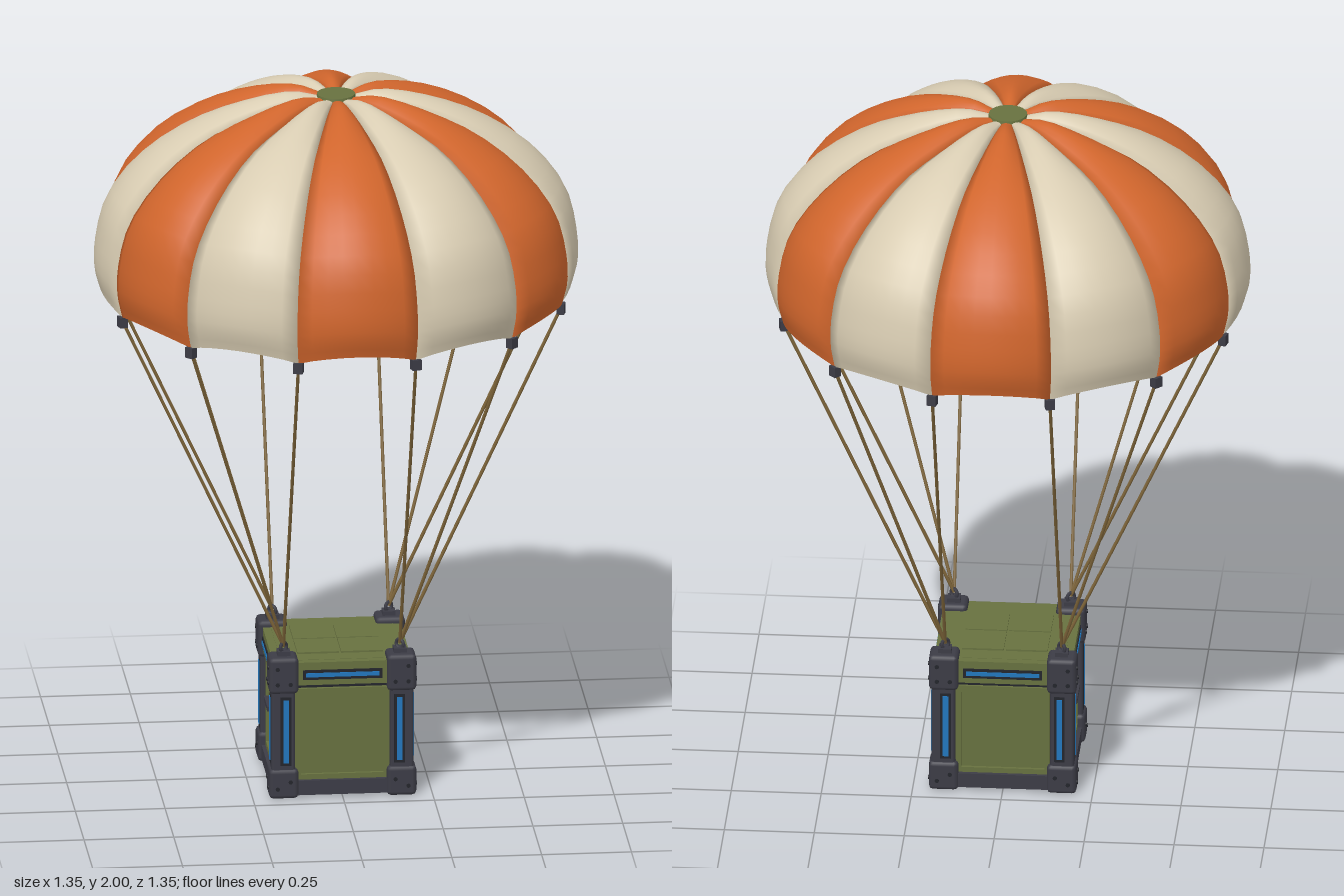
import * as THREE from 'three';
import { RoundedBoxGeometry } from 'three/addons/geometries/RoundedBoxGeometry.js';
import { ParametricGeometry } from 'three/addons/geometries/ParametricGeometry.js';

const material = (name, color, extra = {}) => {
  const m = new THREE.MeshStandardMaterial({ color, ...extra });
  m.name = name;
  return m;
};

export function createModel() {
  const orange = material('orange cloth', 0xd0652c, { side: THREE.DoubleSide });
  const cream = material('cream cloth', 0xd8ccb2, { side: THREE.DoubleSide });
  const olive = material('olive paint', 0x67713f);
  const slate = material('slate metal', 0x3c3c46);
  const dark = material('dark recess', 0x23252b);
  const blue = material('blue strip', 0x2277bd);
  const cord = material('tan cord', 0x7d6439);

  const model = new THREE.Group();
  model.name = 'parachuteCrate';

  const add = (parent, name, geometry, mat, x = 0, y = 0, z = 0) => {
    const mesh = new THREE.Mesh(geometry, mat);
    mesh.name = name;
    mesh.position.set(x, y, z);
    parent.add(mesh);
    return mesh;
  };
  const box = (parent, name, mat, w, h, d, x, y, z) =>
    add(parent, name, new THREE.BoxGeometry(w, h, d), mat, x, y, z);

  // Canopy: puffed gores between a seam profile and a fuller middle profile
  const profile = (points) =>
    new THREE.CatmullRomCurve3(points.map(([r, y]) => new THREE.Vector3(r, y, 0)));
  const seam = profile([[0.632, 1.41], [0.647, 1.48], [0.645, 1.56], [0.612, 1.68],
    [0.52, 1.8], [0.385, 1.9], [0.25, 1.948], [0.12, 1.977], [0.045, 1.983]]);
  const middle = profile([[0.655, 1.438], [0.672, 1.5], [0.669, 1.58], [0.638, 1.7],
    [0.545, 1.82], [0.405, 1.915], [0.25, 1.977], [0.12, 2.0], [0.045, 1.985]]);
  const gores = 12;
  const step = (Math.PI * 2) / gores;
  const canopy = new THREE.Group();
  canopy.name = 'canopy';
  model.add(canopy);
  const gore = new ParametricGeometry((u, v, target) => {
    const puff = Math.pow(Math.max(0, Math.sin(Math.PI * u)), 0.8);
    const p = seam.getPoint(v).lerp(middle.getPoint(v), puff);
    const a = (u - 0.5) * step;
    target.set(p.x * Math.sin(a), p.y, p.x * Math.cos(a));
  }, 8, 20);
  for (let i = 0; i < gores; i++) {
    add(canopy, 'gore', gore, i % 2 ? cream : orange).rotation.y = i * step;
  }
  add(canopy, 'crownCap', new THREE.CylinderGeometry(0.053, 0.055, 0.012, 24), olive, 0, 1.986, 0);

  // Suspension lines: three from the seams to each crate corner
  const lines = new THREE.Group();
  lines.name = 'suspensionLines';
  model.add(lines);
  const up = new THREE.Vector3(0, 1, 0);
  for (let i = 0; i < gores; i++) {
    const a = (i + 0.5) * step;
    const top = new THREE.Vector3(0.632 * Math.sin(a), 1.4, 0.632 * Math.cos(a));
    const end = new THREE.Vector3(0.162 * Math.sign(top.x), 0.435, 0.162 * Math.sign(top.z));
    const dir = top.clone().sub(end);
    const rope = add(lines, 'rope', new THREE.CylinderGeometry(0.005, 0.005, dir.length(), 6), cord);
    rope.position.copy(top).add(end).multiplyScalar(0.5);
    rope.quaternion.setFromUnitVectors(up, dir.normalize());
    box(lines, 'rimClip', slate, 0.026, 0.03, 0.022, top.x, top.y - 0.002, top.z).rotation.y = a;
  }

  // Crate body and quartered lid
  const crate = new THREE.Group();
  crate.name = 'crate';
  model.add(crate);
  box(crate, 'body', olive, 0.35, 0.37, 0.35, 0, 0.2, 0);
  box(crate, 'lid', olive, 0.34, 0.012, 0.34, 0, 0.389, 0);
  for (const x of [-1, 1]) {
    for (const z of [-1, 1]) {
      box(crate, 'lidPanel', olive, 0.116, 0.006, 0.116, x * 0.061, 0.397, z * 0.061);
    }
  }

  // Raised frame around each side panel
  const frameShape = new THREE.Shape();
  frameShape.moveTo(-0.13, 0.05).lineTo(0.13, 0.05).lineTo(0.13, 0.315).lineTo(-0.13, 0.315);
  const opening = new THREE.Path();
  opening.moveTo(-0.115, 0.065).lineTo(-0.115, 0.295).lineTo(0.115, 0.295).lineTo(0.115, 0.065);
  frameShape.holes.push(opening);
  const frame = new THREE.ExtrudeGeometry(frameShape, { depth: 0.01, bevelEnabled: false });

  const block = (h) => new RoundedBoxGeometry(0.082, h, 0.082, 1, 0.012);
  const topBlock = block(0.105);
  const bottomBlock = block(0.086);
  const post = new RoundedBoxGeometry(0.066, 0.26, 0.066, 1, 0.008);
  const bolt = new THREE.CylinderGeometry(0.006, 0.006, 0.006, 8).rotateX(Math.PI / 2);

  for (let k = 0; k < 4; k++) {
    const side = new THREE.Group();
    side.name = 'side';
    side.rotation.y = (k * Math.PI) / 2;
    crate.add(side);

    add(side, 'panelFrame', frame, olive, 0, 0, 0.174);
    box(side, 'bottomBeam', slate, 0.26, 0.042, 0.03, 0, 0.029, 0.18);
    box(side, 'topBeam', olive, 0.26, 0.066, 0.03, 0, 0.361, 0.177);
    box(side, 'beamSlot', dark, 0.22, 0.028, 0.004, 0, 0.358, 0.193);
    box(side, 'beamStrip', blue, 0.204, 0.012, 0.004, 0, 0.358, 0.195);
    box(side, 'beamSeam', dark, 0.25, 0.006, 0.003, 0, 0.322, 0.184);

    // Corner post strips and bolts on this face
    for (const s of [-1, 1]) {
      box(side, 'postSlot', dark, 0.03, 0.2, 0.004, s * 0.158, 0.196, 0.197);
      box(side, 'postStrip', blue, 0.016, 0.184, 0.004, s * 0.158, 0.196, 0.199);
      for (const [dx, y] of [[0.018, 0.38], [-0.018, 0.335], [0.018, 0.335], [-0.018, 0.05], [0.018, 0.03]]) {
        add(side, 'bolt', bolt, dark, s * (0.164 + dx), y, 0.205);
      }
    }

    // Grab handle on the left and right faces
    if (k % 2) {
      box(side, 'handlePlate', dark, 0.13, 0.046, 0.006, 0, 0.213, 0.177);
      box(side, 'handleInset', olive, 0.116, 0.034, 0.006, 0, 0.213, 0.179);
      box(side, 'handleBar', slate, 0.1, 0.014, 0.012, 0, 0.213, 0.19);
      for (const s of [-1, 1]) box(side, 'handleLug', slate, 0.012, 0.014, 0.016, s * 0.044, 0.213, 0.183);
    }

    // Corner post, end blocks and lifting eye
    add(side, 'cornerPost', post, slate, 0.165, 0.2, 0.165);
    add(side, 'topCorner', topBlock, slate, 0.164, 0.358, 0.164);
    add(side, 'bottomCorner', bottomBlock, slate, 0.164, 0.043, 0.164);
    box(side, 'eyeBase', slate, 0.036, 0.014, 0.036, 0.162, 0.416, 0.162);
    add(side, 'liftingEye', new THREE.TorusGeometry(0.013, 0.005, 6, 12), slate, 0.162, 0.432, 0.162)
      .rotation.y = -Math.PI / 4;
  }

  return model;
}
